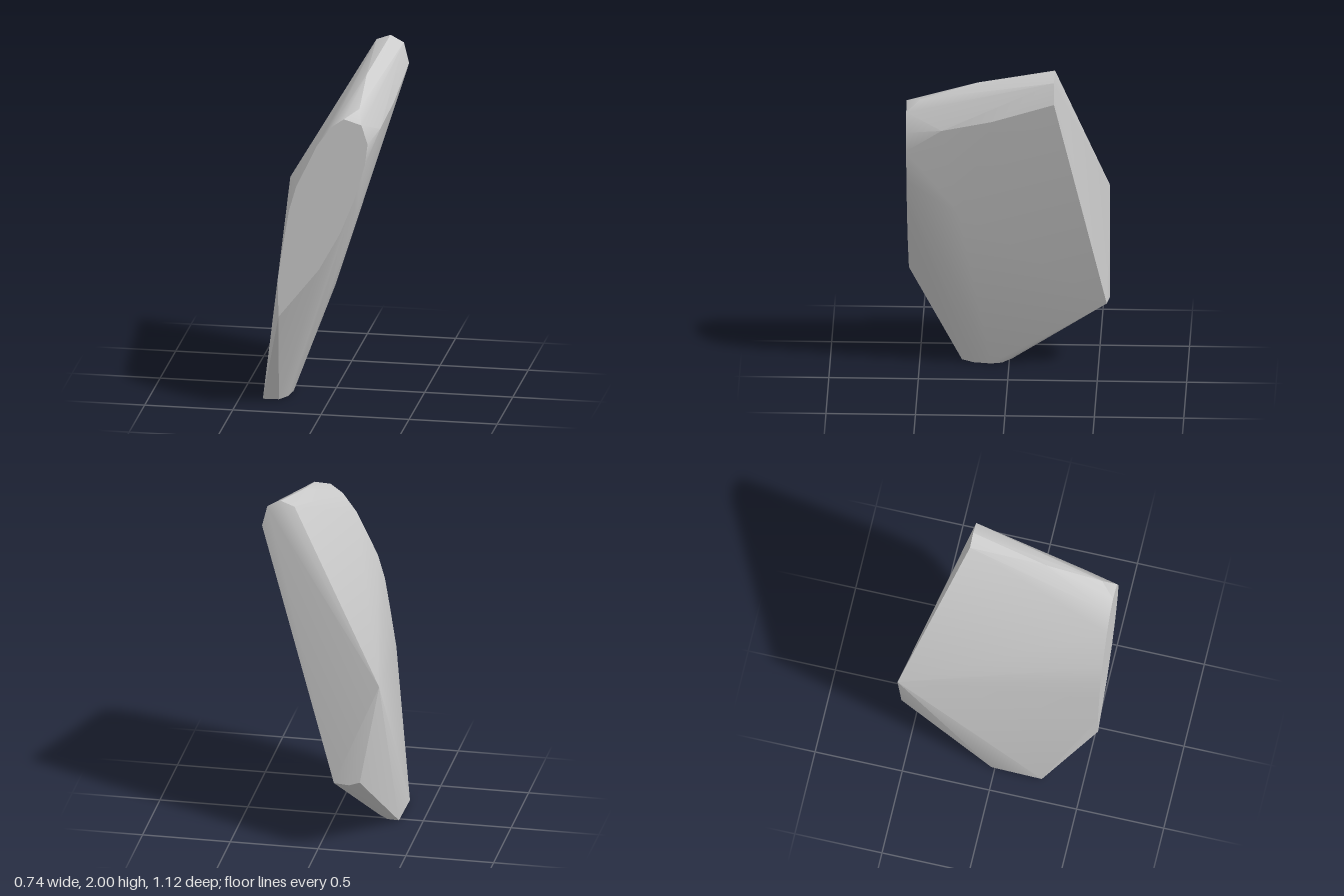
import * as THREE from 'three';
import { ConvexGeometry } from 'three/addons/geometries/ConvexGeometry.js';
import { toCreasedNormals } from 'three/addons/utils/BufferGeometryUtils.js';

const at = (list, place) => list.map(([a, b]) => new THREE.Vector3(...place(a, b)));

export function createModel() {
  const group = new THREE.Group();
  group.name = 'rock';

  // flat front cut, as x, y
  const frontCut = at([
    [-0.23, 0.58], [-0.235, 0.8], [-0.2, 1.03], [-0.17, 1.21], [-0.13, 1.35], [-0.01, 1.6],
    [0.07, 1.71], [0.14, 1.76], [0.24, 1.73], [0.275, 1.62], [0.26, 1.5], [0.2, 1.29],
    [0.12, 1.09], [0, 0.87],
  ], (x, y) => [x, y, 0.56]);

  // small base it stands on, as x, z
  const base = at([
    [-0.37, 0.27], [-0.28, 0.265], [-0.24, 0.2], [-0.225, 0.1], [-0.24, 0.04],
    [-0.3, -0.015], [-0.365, -0.02],
  ], (x, z) => [x, 0, z]);

  // peak at the rear of the top ridge, as x, y
  const peak = at([[0.18, 1.97], [0.26, 2], [0.335, 1.96], [0.365, 1.84]],
    (x, y) => [x, y, -0.27]);

  // rear corners, ridge and flank points
  const corners = [
    [-0.36, 1.04, -0.56], [-0.25, 0.45, -0.563], [-0.19, 0.43, -0.565], [-0.1, 0.43, -0.55],
    [0.2, 1.9, 0.16], [0.215, 1.8, 0.48],
    [0.34, 1.72, 0.08], [0.312, 1.65, 0.36], [0.155, 1.08, 0.27],
  ].map((p) => new THREE.Vector3(...p));

  const hull = new ConvexGeometry([...frontCut, ...base, ...peak, ...corners]);
  const stone = new THREE.Mesh(
    toCreasedNormals(hull, 0.45),
    new THREE.MeshStandardMaterial({ color: 0xcccccc }),
  );
  stone.name = 'stone';
  group.add(stone);
  return group;
}
